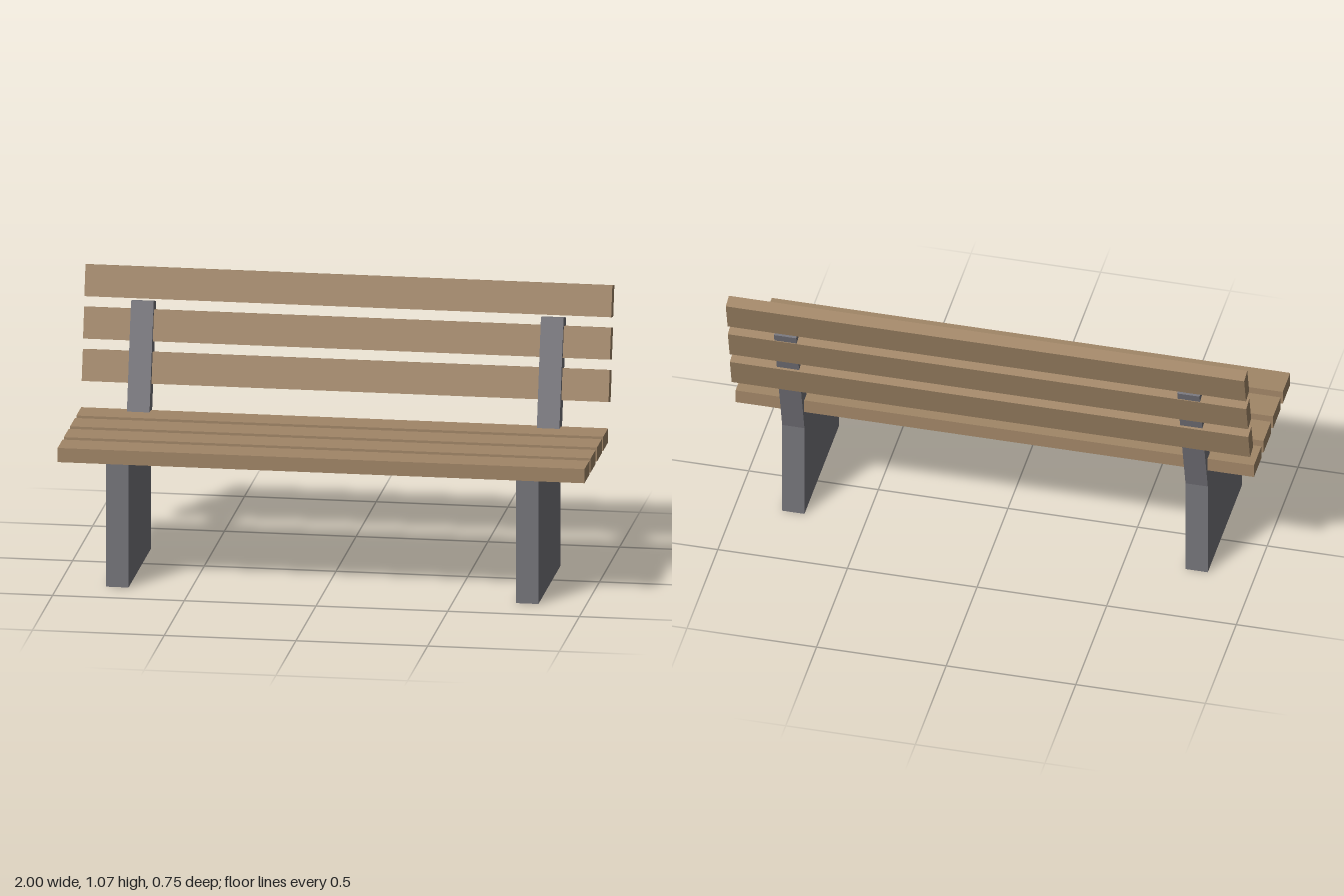
import * as THREE from 'three';

export function createModel() {
  const bench = new THREE.Group();
  bench.name = 'bench';

  const wood = new THREE.MeshStandardMaterial({ color: 0xa18667 });
  wood.name = 'wood';
  const metal = new THREE.MeshStandardMaterial({ color: 0x76757b });
  metal.name = 'grey metal';

  // Full-width plank; tilt leans its top backwards
  function addSlat(name, y, z, height, depth, tilt = 0) {
    const slat = new THREE.Mesh(new THREE.BoxGeometry(2, height, depth), wood);
    slat.name = name;
    slat.position.set(0, y, z);
    slat.rotation.x = -tilt;
    bench.add(slat);
  }

  // Seat: four flat planks
  for (let i = 0; i < 4; i++) {
    addSlat(`seatSlat${i + 1}`, 0.512, 0.313 - i * 0.1555, 0.055, 0.121);
  }

  // Backrest: three leaning planks
  for (let i = 0; i < 3; i++) {
    addSlat(`backSlat${i + 1}`, 0.69 + i * 0.156, -0.266 - i * 0.033, 0.12, 0.052, 0.248);
  }

  // Side supports: solid leg panel and leaning back post in one (z, y) profile
  const profile = new THREE.Shape([
    [0.346, 0], [0.346, 0.49], [-0.165, 0.49], [-0.281, 0.944],
    [-0.344, 0.929], [-0.21, 0.405], [-0.21, 0],
  ].map(([z, y]) => new THREE.Vector2(z, y)));
  const thickness = 0.086;
  const supportGeometry = new THREE.ExtrudeGeometry(profile, { depth: thickness, bevelEnabled: false });
  supportGeometry.translate(0, 0, -thickness / 2);
  supportGeometry.rotateY(-Math.PI / 2);

  for (const side of [-1, 1]) {
    const support = new THREE.Mesh(supportGeometry, metal);
    support.name = side > 0 ? 'leftSupport' : 'rightSupport';
    support.position.x = side * 0.778;
    bench.add(support);
  }

  return bench;
}
